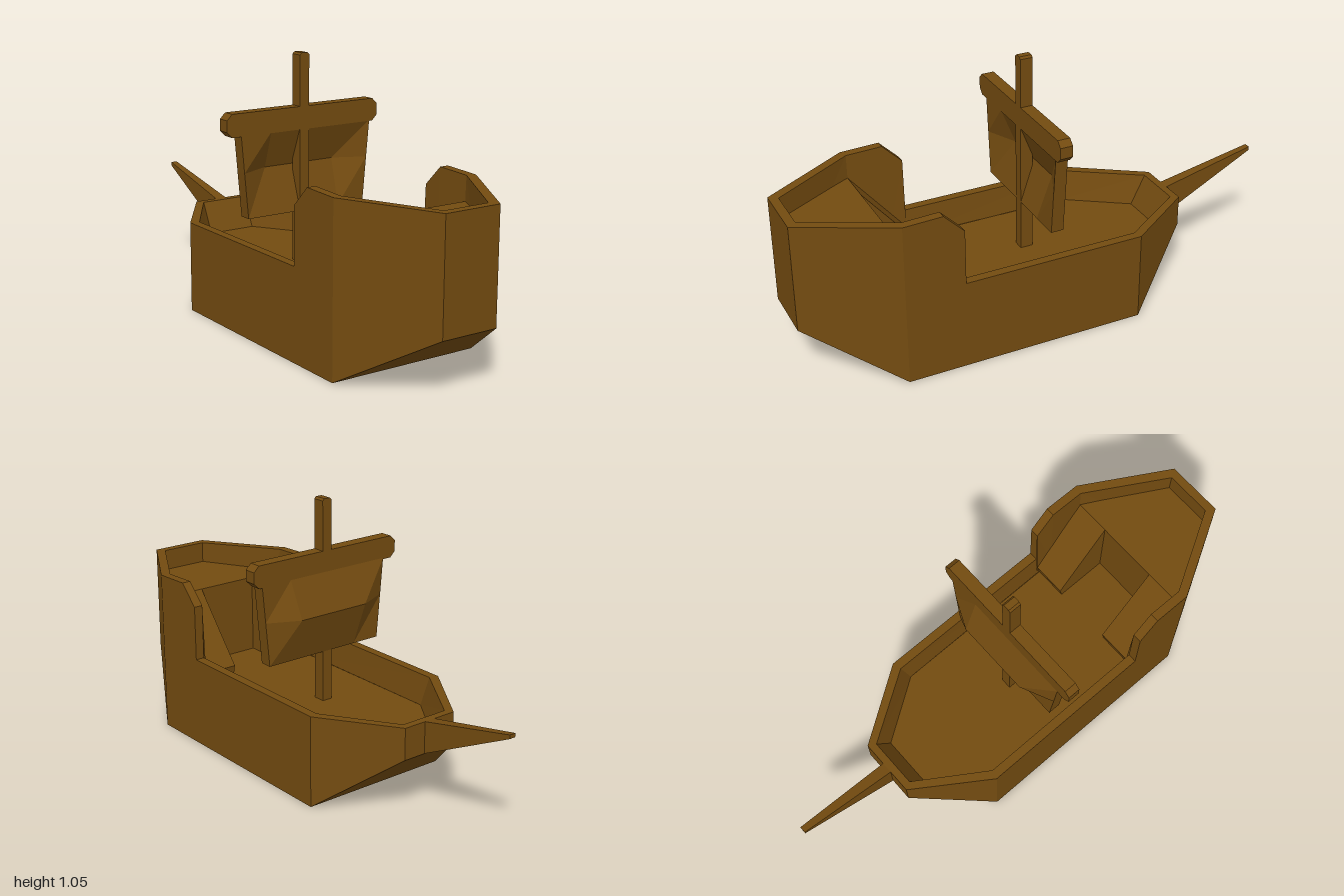
import * as THREE from 'three';

const wood = new THREE.MeshStandardMaterial({ color: 0x734b10, side: THREE.DoubleSide, flatShading: true });
wood.name = 'brown wood';

const HULL_X = 0.015; // the hull sits slightly off the mast line

// Flat-shaded surface from a list of convex polygons
function surface(name, polygons) {
  const pos = [];
  for (const p of polygons)
    for (let i = 1; i < p.length - 1; i++) pos.push(...p[0], ...p[i], ...p[i + 1]);
  const geo = new THREE.BufferGeometry();
  geo.setAttribute('position', new THREE.Float32BufferAttribute(pos, 3));
  geo.computeVertexNormals();
  return named(name, geo);
}

function named(name, geo) {
  const mesh = new THREE.Mesh(geo, wood);
  mesh.name = name;
  return mesh;
}

function extrude(points, depth) {
  const shape = new THREE.Shape(points.map(([x, y]) => new THREE.Vector2(x, y)));
  return new THREE.ExtrudeGeometry(shape, { depth, bevelEnabled: false });
}

function createHull() {
  const hull = new THREE.Group();
  hull.name = 'hull';
  hull.position.x = HULL_X;

  // Stations: outer z, outer half width, rim y, keel y, inner z, inner half width, floor z, floor half width
  const stations = [
    [-0.6, 0.117, 0.36, 0.235, -0.57, 0.1, -0.51, 0.1],
    [-0.31, 0.313, 0.36, 0, -0.3, 0.277, -0.27, 0.262],
    [0.42, 0.313, 0.36, 0, 0.42, 0.277, 0.42, 0.266],
    [0.42, 0.313, 0.58, 0, 0.42, 0.277, 0.42, 0.266],
    [0.5, 0.313, 0.66, 0, 0.5, 0.277, 0.5, 0.266],
    [0.655, 0.313, 0.655, 0, 0.645, 0.277, 0.645, 0.266],
    [1, 0.117, 0.645, 0.213, 0.965, 0.095, 0.965, 0.095],
  ];
  const FLOOR = 0.24, DECK = 0.56;
  const top = (s, m) => [m * s[1], s[2], s[0]];
  const keel = (s, m) => [m * s[1], s[3], s[0]];
  const inner = (s, m) => [m * s[5], s[2], s[4]];
  const foot = (s, m) => [m * s[7], FLOOR, s[6]];

  const outside = [], rim = [], inside = [];
  for (let i = 0; i < stations.length - 1; i++) {
    const a = stations[i], b = stations[i + 1];
    for (const m of [-1, 1]) {
      rim.push([top(a, m), top(b, m), inner(b, m), inner(a, m)]);
      if (a[0] === b[0]) continue;
      outside.push([keel(a, m), keel(b, m), top(b, m), top(a, m)]);
      inside.push([inner(a, m), inner(b, m), foot(b, m), foot(a, m)]);
    }
    if (a[0] !== b[0]) outside.push([keel(a, -1), keel(a, 1), keel(b, 1), keel(b, -1)]);
  }
  // Blunt ends
  for (const s of [stations[0], stations[6]]) {
    outside.push([keel(s, -1), keel(s, 1), top(s, 1), top(s, -1)]);
    rim.push([top(s, -1), top(s, 1), inner(s, 1), inner(s, -1)]);
    inside.push([inner(s, -1), inner(s, 1), foot(s, 1), foot(s, -1)]);
  }
  hull.add(surface('hullPlanking', outside), surface('rim', rim), surface('innerWalls', inside));

  hull.add(surface('mainDeck', [[
    [-0.1, FLOOR, -0.51], [0.1, FLOOR, -0.51], [0.262, FLOOR, -0.27], [0.266, FLOOR, 0.645],
    [-0.266, FLOOR, 0.645], [-0.262, FLOOR, -0.27],
  ]]));
  hull.add(surface('raisedDeck', [
    [[-0.277, DECK, 0.645], [0.277, DECK, 0.645], [0.095, DECK, 0.965], [-0.095, DECK, 0.965]],
    [[-0.277, DECK, 0.645], [0.277, DECK, 0.645], [0.277, FLOOR, 0.645], [-0.277, FLOOR, 0.645]],
  ]));

  // Ramps from the main deck up to the raised deck
  for (const m of [-1, 1]) {
    const geo = extrude([[0.43, FLOOR], [0.42, 0.29], [0.645, DECK], [0.645, FLOOR]], 0.145);
    geo.rotateY(-Math.PI / 2);
    geo.translate(m * 0.2 + 0.0725, 0, 0);
    hull.add(named(m < 0 ? 'rightRamp' : 'leftRamp', geo));
  }

  // Tapered spar pointing out from the end
  const ring = (z, w, y0, y1) => [[-w, y0, z], [w, y0, z], [w, y1, z], [-w, y1, z]];
  const a = ring(-0.6, 0.023, 0.235, 0.36), b = ring(-1, 0.013, 0.43, 0.445);
  const faces = [b];
  for (let i = 0; i < 4; i++) {
    const j = (i + 1) % 4;
    faces.push([a[i], a[j], b[j], b[i]]);
  }
  hull.add(surface('bowsprit', faces));
  return hull;
}

function createRig() {
  const rig = new THREE.Group();
  rig.name = 'rig';

  // Mast and yard are bars with chamfered corners
  const c = 0.008;
  rig.add(named('mast', extrude([
    [-0.021, 0.24], [0.021, 0.24], [0.021, 1.05 - c], [0.021 - c, 1.05], [-0.021 + c, 1.05], [-0.021, 1.05 - c],
  ], 0.05)));
  const w = 0.341, k = 0.022;
  rig.add(named('yard', extrude([
    [-w + k, 0.76], [w - k, 0.76], [w, 0.76 + k], [w, 0.848 - k],
    [w - k, 0.848], [-w + k, 0.848], [-w, 0.848 - k], [-w, 0.76 + k],
  ], 0.05)));

  // Billowing sail: a thick sheet whose middle row is pushed back
  const sail = new THREE.BoxGeometry(2, 2, 0.05, 3, 2, 1);
  const p = sail.attributes.position;
  for (let i = 0; i < p.count; i++) {
    const row = Math.round(p.getY(i)), u = p.getX(i);
    const half = [0.264, 0.28, 0.293][row + 1];
    const middle = Math.abs(u) < 0.9;
    const x = middle ? Math.sign(u) * half * 0.55 : u * half;
    const z = p.getZ(i) + 0.025 - (row === 0 && middle ? 0.058 : 0);
    p.setXYZ(i, x + 0.012, [0.445, 0.62, 0.765][row + 1], z);
  }
  sail.computeVertexNormals();
  rig.add(named('sail', sail));
  return rig;
}

export function createModel() {
  const model = new THREE.Group();
  model.name = 'sailingShip';
  model.add(createHull(), createRig());
  return model;
}
